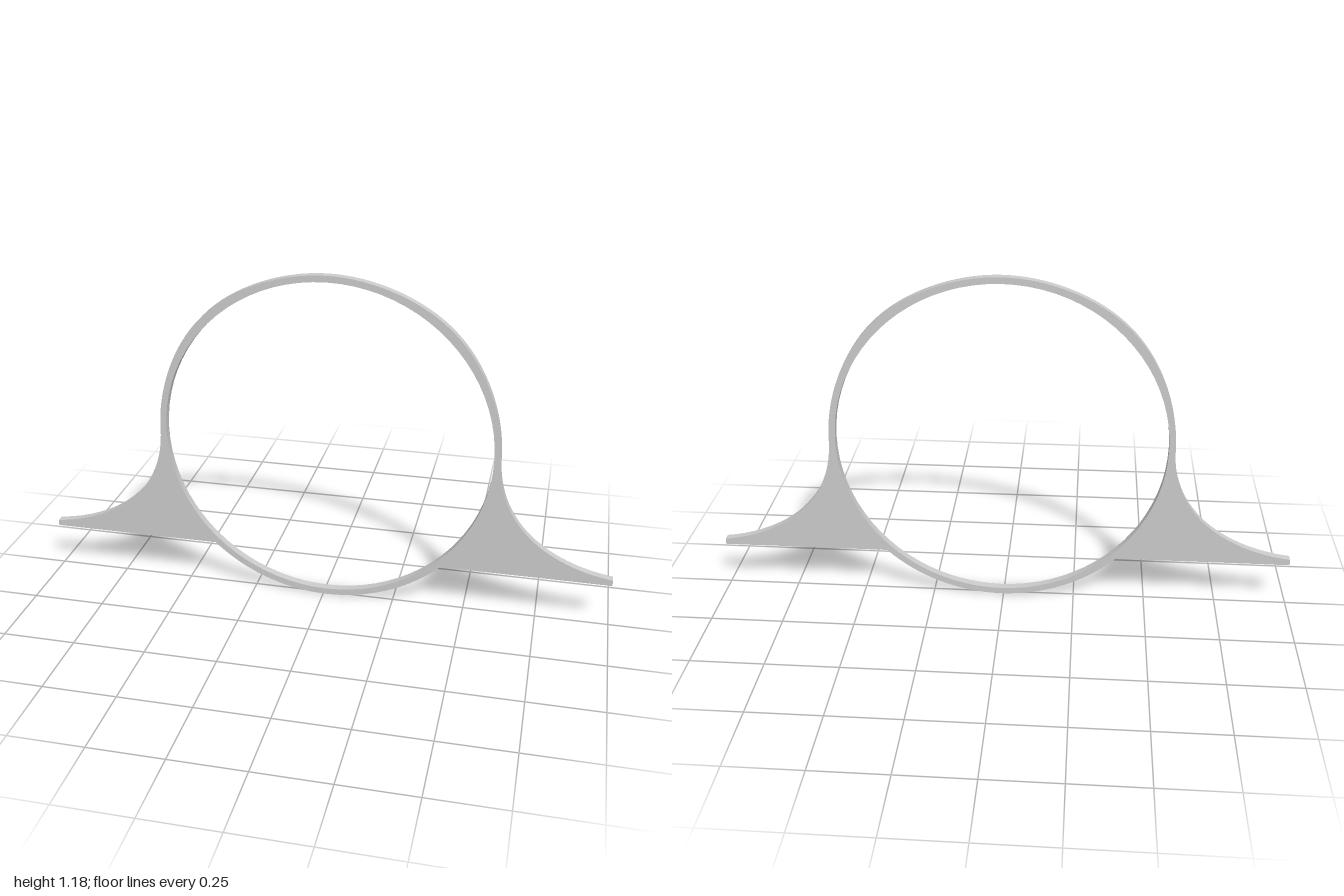
import * as THREE from 'three';
import { toCreasedNormals } from 'three/addons/utils/BufferGeometryUtils.js';

const CX = 0.01, CY = 0.594;       // ring centre
const OUTER = 0.59, INNER = 0.568; // ring radii
const DEPTH = 0.028;
const FIN_BOTTOM = 0.166, FIN_TIP = 0.187;

export function createModel() {
  const group = new THREE.Group();
  const shape = new THREE.Shape();

  // lower ring arc, between the feet of the two fins
  const foot = Math.asin((CY - FIN_BOTTOM) / OUTER);
  shape.absarc(CX, CY, OUTER, Math.PI + foot, 2 * Math.PI - foot, false);

  // fin on the left (+x): flat underside, blunt tip, concave sweep up to the ring
  shape.lineTo(1, FIN_BOTTOM);
  shape.lineTo(1, FIN_TIP);
  shape.bezierCurveTo(0.81, 0.21, CX + OUTER, 0.33, CX + OUTER, CY);

  // upper ring arc, slightly fuller at the shoulders
  const steps = 64;
  for (let i = 1; i <= steps; i++) {
    const a = (i / steps) * Math.PI;
    const r = OUTER + 0.008 * Math.sin(2 * a) ** 4;
    shape.lineTo(CX + r * Math.cos(a), CY + r * Math.sin(a));
  }

  // fin on the right (-x)
  shape.bezierCurveTo(CX - OUTER, 0.33, -0.8, 0.21, -1, FIN_TIP);
  shape.lineTo(-1, FIN_BOTTOM);
  shape.closePath();

  // round opening
  const hole = new THREE.Path();
  hole.absarc(CX, CY, INNER, 0, Math.PI * 2, true);
  shape.holes.push(hole);

  const geometry = new THREE.ExtrudeGeometry(shape, {
    depth: DEPTH, bevelEnabled: false, curveSegments: 40,
  });
  geometry.translate(0, -(CY - OUTER), -DEPTH / 2);

  const ring = new THREE.Mesh(
    toCreasedNormals(geometry, Math.PI / 7),
    new THREE.MeshStandardMaterial({ color: 0xcccccc }),
  );
  ring.name = 'finnedRing';
  group.add(ring);
  return group;
}
